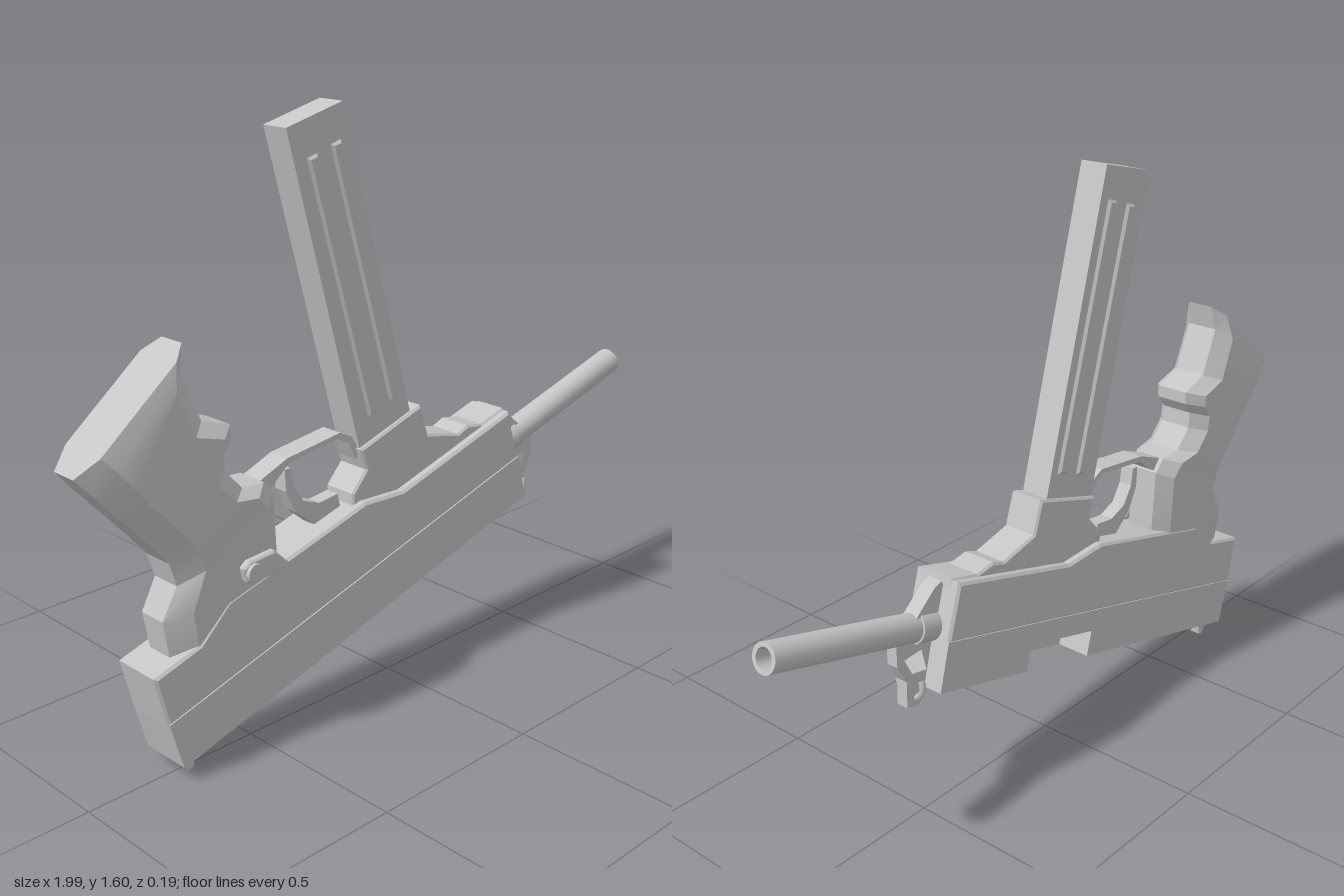
import * as THREE from 'three';
import { toCreasedNormals } from 'three/addons/utils/BufferGeometryUtils.js';

const TILT = 0.27; // pitch of the whole body
const Z0 = -0.012; // centre plane of the body

export function createModel() {
  const model = new THREE.Group();
  const steel = new THREE.MeshStandardMaterial({ color: 0xc6c6c6 });
  steel.name = 'light steel grey';

  const add = (name, geometry) => {
    const mesh = new THREE.Mesh(geometry, steel);
    mesh.name = name;
    model.add(mesh);
    return mesh;
  };

  // Side outline extruded from z = a to z = b, with an optional chamfer kept inside the outline
  const slab = (name, pts, a, b, bevel = 0, hole = null) => {
    const shape = new THREE.Shape(pts.map(p => new THREE.Vector2(...p)));
    if (hole) shape.holes.push(new THREE.Path(hole.map(p => new THREE.Vector2(...p))));
    const g = new THREE.ExtrudeGeometry(shape, {
      depth: b - a - 2 * bevel, bevelEnabled: bevel > 0, bevelSegments: 1,
      bevelSize: bevel, bevelThickness: bevel, bevelOffset: -bevel,
    });
    return add(name, g.translate(0, 0, a + bevel));
  };
  const plate = (name, pts, half, bevel, hole) => slab(name, pts, Z0 - half, Z0 + half, bevel, hole);

  // Part turned around an axis that follows the body's pitch
  const turned = (name, profile, x, y) => {
    const g = new THREE.LatheGeometry(profile.map(p => new THREE.Vector2(...p)), 20);
    const mesh = add(name, toCreasedNormals(g, 0.6));
    mesh.rotation.z = TILT - Math.PI / 2;
    mesh.position.set(x, y, Z0);
  };

  // Frame
  plate('frame', [[-0.835, 0.31], [-0.80, 0.17], [0.475, 0.525], [0.43, 0.675], [0, 0.553],
    [-0.14, 0.56], [-0.605, 0.435], [-0.695, 0.35]], 0.075, 0.007);

  // Slide: one side whole, the other side cut out for the ejection port
  slab('slideLeft', [[-0.798, 0.173], [-0.76, 0.04], [0.51, 0.395], [0.475, 0.527]], 0.015, Z0 + 0.074);
  slab('slideRight', [[-0.798, 0.173], [-0.76, 0.04], [-0.08, 0.23], [-0.10, 0.302], [0.16, 0.375],
    [0.18, 0.303], [0.51, 0.395], [0.475, 0.527]], Z0 - 0.074, 0.015);
  turned('chamber', [[0, 0], [0.042, 0], [0.042, 0.3], [0, 0.3]], -0.105, 0.32);

  // Magazine well and stepped ridge
  plate('magazineWell', [[-0.165, 0.54], [-0.165, 0.585], [-0.115, 0.64], [-0.135, 0.70], [0.09, 0.77],
    [0.12, 0.68], [0.24, 0.65], [0.28, 0.665], [0.34, 0.655], [0.43, 0.68], [0.44, 0.64], [0, 0.52]], 0.052, 0.006);

  // Magazine with two long chamfered ribs on each face
  plate('magazine', [[-0.36, 1.553], [-0.13, 0.70], [0.06, 0.75], [-0.178, 1.60]], 0.041);
  [[-0.28, 1.48, -0.08, 0.783], [-0.203, 1.505, -0.003, 0.81]].forEach(([x1, y1, x2, y2]) => {
    const w = 0.017;
    plate('magazineRib', [[x1 - w, y1 - w * 0.28], [x2 - w, y2 - w * 0.28],
      [x2 + w, y2 + w * 0.28], [x1 + w, y1 + w * 0.28]], 0.048, 0.007);
  });

  // Grip: lofted octagons; each station is back x, y, front x, y, half width
  const stations = [
    [-0.995, 0.85, -0.685, 1.10, 0.068], [-0.96, 0.81, -0.70, 1.03, 0.083], [-0.925, 0.77, -0.645, 0.905, 0.085],
    [-0.91, 0.755, -0.56, 0.875, 0.085], [-0.895, 0.735, -0.56, 0.84, 0.085], [-0.87, 0.71, -0.585, 0.805, 0.085],
    [-0.84, 0.675, -0.58, 0.76, 0.085], [-0.80, 0.63, -0.53, 0.705, 0.085], [-0.755, 0.575, -0.46, 0.70, 0.082],
    [-0.735, 0.51, -0.43, 0.665, 0.078], [-0.78, 0.43, -0.42, 0.49, 0.074], [-0.76, 0.31, -0.42, 0.44, 0.07],
  ];
  // Section corners: distance in from the back (or, if negative, from the front) and share of half width
  const ring = [[0, -0.55], [0.07, -1], [-0.05, -1], [-0, -0.55], [-0, 0.55], [-0.05, 1], [0.07, 1], [0, 0.55]];
  const pos = [], idx = [], n = ring.length, last = (stations.length - 1) * n;
  stations.forEach(([bx, by, fx, fy, w], i) => ring.forEach(([d, s], j) => {
    const t = d / Math.hypot(fx - bx, fy - by) + (j > 1 && j < 6 ? 1 : 0);
    pos.push(bx + (fx - bx) * t, by + (fy - by) * t, Z0 + s * w);
    if (i === stations.length - 1) return;
    const a = i * n + j, b = i * n + (j + 1) % n;
    idx.push(a, b, b + n, a, b + n, a + n);
  }));
  for (let k = 1; k < n - 1; k++) idx.push(0, k + 1, k, last, last + k, last + k + 1);
  const grip = new THREE.BufferGeometry();
  grip.setAttribute('position', new THREE.Float32BufferAttribute(pos, 3));
  grip.setIndex(idx);
  add('grip', toCreasedNormals(grip, 0.3));

  // Trigger guard and trigger
  plate('triggerGuard', [[-0.46, 0.70], [-0.37, 0.735], [-0.19, 0.757], [-0.15, 0.737], [-0.115, 0.68],
    [-0.135, 0.67], [-0.16, 0.722], [-0.195, 0.742], [-0.365, 0.721], [-0.415, 0.68], [-0.45, 0.66]], 0.032);
  plate('trigger', [[-0.37, 0.70], [-0.35, 0.70], [-0.342, 0.65], [-0.31, 0.60], [-0.255, 0.578],
    [-0.19, 0.585], [-0.18, 0.54], [-0.27, 0.52], [-0.335, 0.575], [-0.367, 0.64]], 0.02);

  // Safety lever with its pivot
  slab('safetyLever', [[-0.57, 0.515], [-0.55, 0.53], [-0.47, 0.535], [-0.425, 0.49], [-0.44, 0.478],
    [-0.53, 0.468], [-0.56, 0.478]], 0.05, 0.083, 0.005);
  const pivot = add('leverPivot', toCreasedNormals(new THREE.CylinderGeometry(0.024, 0.024, 0.045, 12), 0.6));
  pivot.rotation.x = Math.PI / 2;
  pivot.position.set(-0.54, 0.50, 0.071);

  // Hollow barrel and its bushing
  turned('barrel', [[0.039, 0], [0.039, 0.533], [0.027, 0.533], [0.027, 0.43], [0, 0.43]], 0.475, 0.552);
  turned('barrelBushing', [[0, 0], [0.044, 0], [0.044, 0.08], [0, 0.08]], 0.45, 0.546);

  // Front bracket and sight post
  plate('frontBracket', [[0.43, 0.64], [0.44, 0.668], [0.465, 0.66], [0.535, 0.60], [0.53, 0.55], [0.45, 0.55]], 0.022);
  plate('frontSightBracket', [[0.47, 0.50], [0.49, 0.55], [0.60, 0.56], [0.60, 0.49], [0.57, 0.435],
    [0.572, 0.36], [0.53, 0.35], [0.505, 0.39]], 0.017, 0,
  [[0.515, 0.505], [0.575, 0.50], [0.55, 0.45], [0.50, 0.44]]);

  // Hood curving around the front sight
  const hood = add('frontSightHood', new THREE.TorusGeometry(0.042, 0.009, 6, 14, Math.PI * 1.3));
  hood.rotation.set(0, Math.PI / 2, Math.PI * 0.85);
  hood.position.set(0.54, 0.415, Z0);

  // Rear sight prongs
  for (const s of [-1, 1]) {
    const z = Z0 + s * 0.022;
    slab('rearSight', [[-0.755, 0.06], [-0.735, 0.025], [-0.72, 0], [-0.705, 0.005], [-0.70, 0.045], [-0.69, 0.075]],
      z - 0.015, z + 0.015);
  }
  return model;
}
